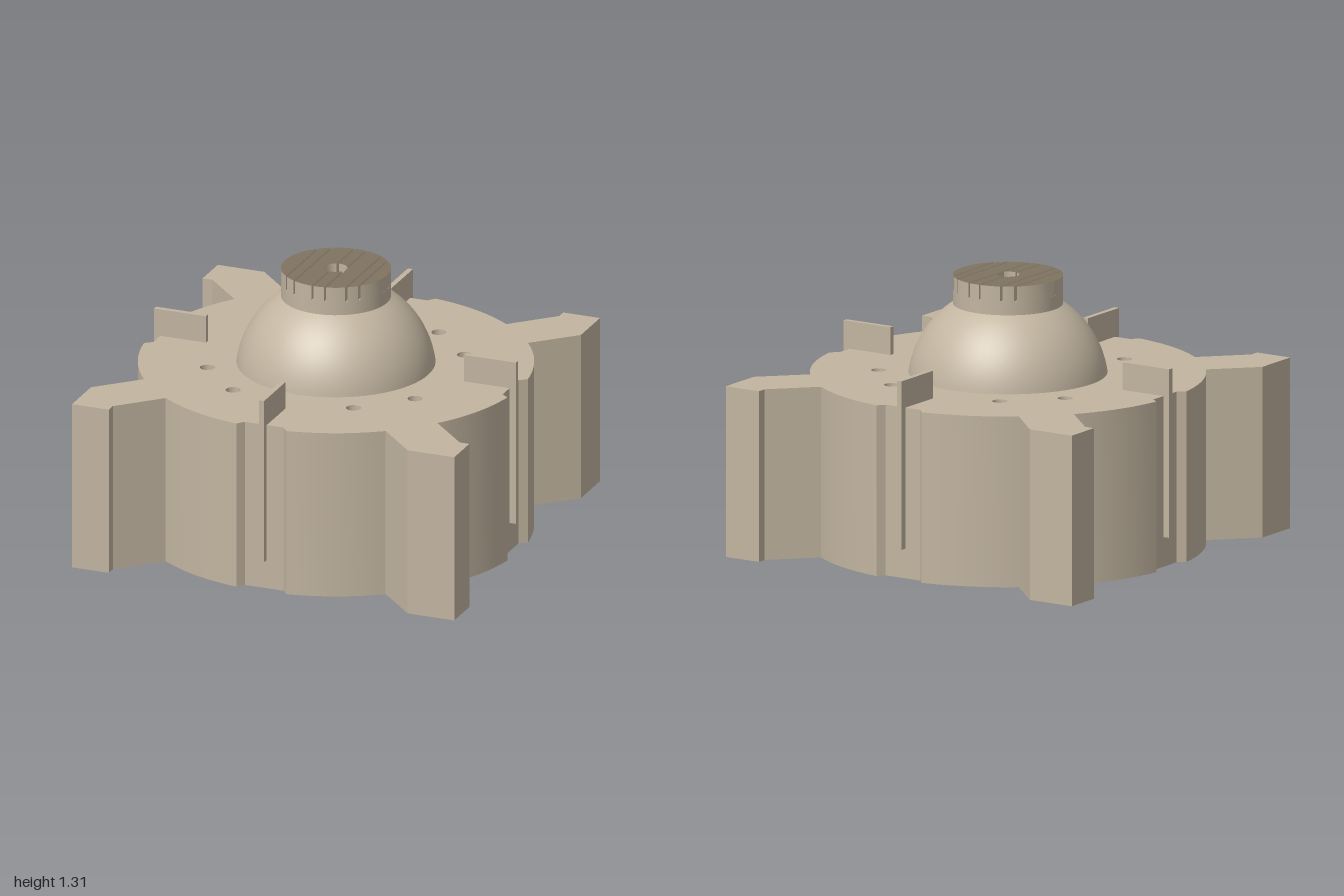
import * as THREE from 'three';
import { toCreasedNormals } from 'three/addons/utils/BufferGeometryUtils.js';

const BODY_H = 0.835, R = 0.945;
const CAP_R = 0.263, CAP_FLOOR = 1.24, CAP_TOP = 1.313;

// Extrudes a shape drawn in (x, z) from y0 to y1, with groups for top, underside and walls.
function extrudeUp(shape, y0, y1) {
  const g = new THREE.ExtrudeGeometry(shape, { depth: y1 - y0, bevelEnabled: false, curveSegments: 24 });
  g.rotateX(Math.PI / 2);
  g.translate(0, y1, 0);
  const lids = g.groups[0].count, total = g.attributes.position.count;
  g.clearGroups();
  g.addGroup(0, lids / 2, 0);
  g.addGroup(lids / 2, lids / 2, 1);
  g.addGroup(lids, total - lids, 2);
  return g;
}

function arcPoints(a0, a1, n) {
  return Array.from({ length: n + 1 }, (_, i) => {
    const a = a0 + (a1 - a0) * i / n;
    return [R * Math.cos(a), R * Math.sin(a)];
  });
}

function circleHole(x, z, r) {
  const p = new THREE.Path();
  p.absarc(x, z, r, 0, Math.PI * 2, true);
  return p;
}

// One quarter of the outline: notch, rim, hooked arm, rim, notch.
function bodyShape() {
  const notch = 0.137, arm = 0.6435;
  const quarter = [
    [0.9, 0.1],
    ...arcPoints(notch, arm, 14),
    [0.95, 0.76], [1, 0.76], [1, 0.95], [0.76, 0.95],
    ...arcPoints(Math.PI / 2 - arm, Math.PI / 2 - notch, 14),
    [0.1, 0.9],
  ];
  const pts = [];
  for (let k = 0; k < 4; k++) {
    for (const [x, z] of quarter) {
      pts.push(new THREE.Vector2(x, z).rotateAround(new THREE.Vector2(), k * Math.PI / 2));
    }
  }
  const shape = new THREE.Shape(pts);

  // Bolt holes, centre bore and curved slots
  for (const sx of [-1, 1]) for (const sz of [-1, 1]) {
    shape.holes.push(circleHole(sx * 0.31, sz * 0.535, 0.036), circleHole(sx * 0.535, sz * 0.31, 0.036));
  }
  shape.holes.push(circleHole(0, 0, 0.05));
  for (let k = 0; k < 4; k++) {
    const a = k * Math.PI / 2, h = 0.42;
    const slot = new THREE.Path();
    slot.absarc(0, 0, 0.325, a - h, a + h, false);
    slot.absarc(0, 0, 0.3, a + h, a - h, true);
    slot.closePath();
    shape.holes.push(slot);
  }
  return shape;
}

// Half of one cap slat between x0 and x1, leaving the centre bore free.
function slatShape(x0, x1, side) {
  const n = 12, outer = [], inner = [];
  for (let i = 0; i <= n; i++) {
    const x = x0 + (x1 - x0) * i / n;
    outer.push(new THREE.Vector2(x, side * Math.sqrt(Math.max(0, CAP_R ** 2 - x * x))));
    inner.push(new THREE.Vector2(x, side * Math.sqrt(Math.max(0, 0.055 ** 2 - x * x))));
  }
  // Drop coincident corners at the outermost slats
  const pts = [...outer, ...inner.reverse()];
  return new THREE.Shape(pts.filter((p, i) => p.distanceTo(pts[(i + 1) % pts.length]) > 1e-5));
}

export function createModel() {
  const tan = new THREE.MeshStandardMaterial({ color: 0xc2b5a0 });
  tan.name = 'tan';
  const darkBrown = new THREE.MeshStandardMaterial({ color: 0x807361 });
  darkBrown.name = 'darkBrown';

  const model = new THREE.Group();
  const add = (name, geometry, material = tan, parent = model) => {
    const mesh = new THREE.Mesh(geometry, material);
    mesh.name = name;
    parent.add(mesh);
  };

  // Drum body with four hooked arms and a dark underside
  add('body', toCreasedNormals(extrudeUp(bodyShape(), 0, BODY_H), 0.3), [tan, darkBrown, tan]);

  // Upright fins in the rim notches
  for (let k = 0; k < 4; k++) {
    const g = new THREE.BoxGeometry(0.268, 0.825, 0.026);
    g.translate(0.799, 0.5575, 0);
    g.rotateY(k * Math.PI / 2);
    add('fin', g);
  }

  // Dome: truncated sphere closed below
  const cy = 0.772, dr = 0.479;
  const a0 = Math.asin((BODY_H - 0.005 - cy) / dr), a1 = Math.acos(CAP_R / dr);
  const profile = [new THREE.Vector2(0, BODY_H - 0.005)];
  for (let i = 0; i <= 20; i++) {
    const a = a0 + (a1 - a0) * i / 20;
    profile.push(new THREE.Vector2(dr * Math.cos(a), cy + dr * Math.sin(a)));
  }
  profile.push(new THREE.Vector2(0, cy + dr * Math.sin(a1)));
  add('dome', toCreasedNormals(new THREE.LatheGeometry(profile, 72), 0.5));

  // Cap base, whose top is the floor of the slots
  const cap = new THREE.Group();
  cap.name = 'slottedCap';
  model.add(cap);
  const base = new THREE.CylinderGeometry(CAP_R, CAP_R, CAP_FLOOR - 1.15, 72);
  base.translate(0, (CAP_FLOOR + 1.15) / 2, 0);
  add('capBase', base, tan, cap);

  // Cap slats separated by narrow slots, dark on top
  const slots = [-0.174, -0.118, -0.013, 0.05, 0.144, 0.193], half = 0.005;
  const starts = [-CAP_R, ...slots.map((x) => x + half)];
  const ends = [...slots.map((x) => x - half), CAP_R];
  starts.forEach((x0, i) => {
    for (const side of [-1, 1]) {
      const slat = extrudeUp(slatShape(x0, ends[i], side), CAP_FLOOR, CAP_TOP);
      add('capSlat', toCreasedNormals(slat, 0.3), [darkBrown, tan, tan], cap);
    }
  });

  return model;
}
